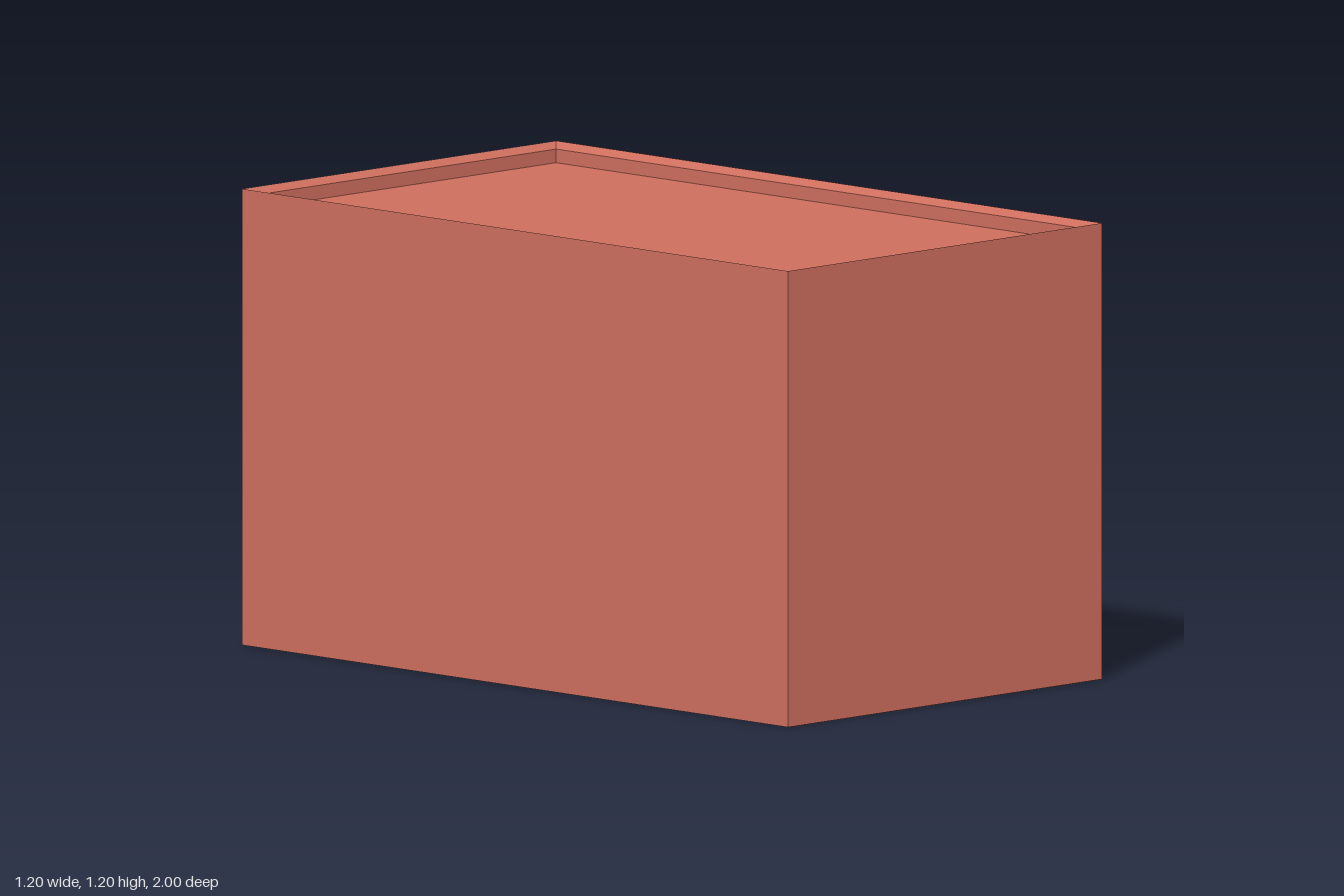
import * as THREE from 'three';

const brick = new THREE.MeshStandardMaterial({ color: 0xcf6f5e });
const glass = new THREE.MeshStandardMaterial({ color: 0x9ac1cf });
const WALL = 0.56; // x of the facade plane

function add(parent, name, geometry, material = brick) {
  const mesh = new THREE.Mesh(geometry, material);
  mesh.name = name;
  parent.add(mesh);
  return mesh;
}

// Box given by its extents
function span(x0, x1, y0, y1, z0, z1) {
  return new THREE.BoxGeometry(x1 - x0, y1 - y0, z1 - z0)
    .translate((x0 + x1) / 2, (y0 + y1) / 2, (z0 + z1) / 2);
}

// Rectangular ring at height y
const ring = (x0, x1, z0, z1, y) =>
  [[x0, y, z1], [x1, y, z1], [x1, y, z0], [x0, y, z0]];

// Flat-faced skin through rings, closed at both ends
function loft(rings, skip = () => false) {
  const pos = [];
  const quad = (a, b, c, d) => pos.push(...a, ...b, ...c, ...a, ...c, ...d);
  for (let r = 0; r < rings.length - 1; r++) {
    for (let i = 0; i < 4; i++) {
      const j = (i + 1) % 4;
      if (!skip(r, i)) quad(rings[r][i], rings[r][j], rings[r + 1][j], rings[r + 1][i]);
    }
  }
  quad(...[...rings[0]].reverse());
  quad(...rings[rings.length - 1]);
  const g = new THREE.BufferGeometry();
  g.setAttribute('position', new THREE.Float32BufferAttribute(pos, 3));
  g.computeVertexNormals();
  return g;
}

// Inside-out box lining a recess in the facade
function recess(depth, y0, y1, z0, z1) {
  const g = new THREE.BoxGeometry(depth, y1 - y0, z1 - z0);
  g.scale(-1, 1, 1);
  g.translate(WALL - depth / 2, (y0 + y1) / 2, (z0 + z1) / 2);
  // leave the outer side open: drop the face group lying in the wall plane
  const p = g.attributes.position, idx = [];
  for (let i = 0; i < g.index.count; i += 3) {
    const tri = [0, 1, 2].map((k) => g.index.getX(i + k));
    if (!tri.every((v) => Math.abs(p.getX(v) - WALL) < 1e-5)) idx.push(...tri);
  }
  g.setIndex(idx);
  g.computeVertexNormals();
  return g;
}

// Two-pane window standing slightly proud of the facade
function doubleWindow(z, y) {
  const w = new THREE.Group();
  w.name = 'doubleWindow';
  const hw = 0.125, h = 0.2, t = 0.005, out = WALL + 0.012;
  add(w, 'windowPanes', span(WALL - 0.01, WALL + 0.002, y, y + h, z - hw + 0.001, z + hw - 0.001), glass);
  for (const s of [-1, 1]) {
    const a = z + s * hw, b = z + s * (hw - t);
    add(w, 'frameSide', span(WALL, out, y, y + h, Math.min(a, b), Math.max(a, b)));
  }
  add(w, 'frameBottom', span(WALL, out, y, y + t, z - hw + t, z + hw - t));
  add(w, 'frameTop', span(WALL, out, y + h - t, y + h, z - hw + t, z + hw - t));
  add(w, 'mullion', span(WALL, out, y + t, y + h - t, z - 0.008, z + 0.008));
  return w;
}

export function createModel() {
  const model = new THREE.Group();
  model.name = 'house';

  // Walls, sloped parapet and sunken roof; the facade side is filled separately
  const inset = 0.022;
  const inner = (y) => ring(-0.6 + inset, WALL - inset, -1 + inset, 1 - inset, y);
  add(model, 'wallsAndRoof', loft([
    ring(-0.6, WALL, -1, 1, 0),
    ring(-0.6, WALL, -1, 1, 1.2),
    inner(1.183),
    inner(1.147),
  ], (r, i) => r === 0 && i === 1));

  // Facade with openings for the door and the small window
  const door = { y0: 0.01, y1: 0.315, z0: -0.018, z1: 0.192 };
  const small = { y0: 0.703, y1: 0.907, z0: -0.82, z1: -0.685 };
  const rect = (P, o) => new P([
    new THREE.Vector2(-o.z1, o.y0), new THREE.Vector2(-o.z0, o.y0),
    new THREE.Vector2(-o.z0, o.y1), new THREE.Vector2(-o.z1, o.y1),
  ]);
  const wall = rect(THREE.Shape, { y0: 0, y1: 1.2, z0: -1, z1: 1 });
  wall.holes.push(rect(THREE.Path, door), rect(THREE.Path, small));
  add(model, 'facade', new THREE.ShapeGeometry(wall).rotateY(Math.PI / 2).translate(WALL, 0, 0));

  // Recessed door with a post beside it
  add(model, 'doorRecess', recess(0.02, door.y0, door.y1, door.z0, door.z1));
  add(model, 'doorPost', span(WALL - 0.02, WALL - 0.01, door.y0, door.y1, door.z0, 0.007));

  // Hipped canopy over the door
  add(model, 'doorCanopy', loft([
    ring(WALL, 0.597, -0.018, 0.192, 0.315),
    ring(WALL, 0.571, 0.005, 0.167, 0.345),
  ]));

  // Small recessed window and its sill
  add(model, 'smallWindowRecess', recess(0.015, small.y0, small.y1, small.z0, small.z1));
  add(model, 'smallWindowPane',
    span(WALL - 0.018, WALL - 0.013, small.y0, small.y1, small.z0, small.z1), glass);
  add(model, 'windowSill', loft([
    ring(WALL, 0.584, -0.822, -0.687, 0.69),
    ring(WALL, 0.597, -0.822, -0.687, 0.704),
  ]));

  // Double windows on two levels
  for (const [z, y] of [[0.75, 0.735], [0.035, 0.735], [0.56, 0.375], [-0.205, 0.375]]) {
    model.add(doubleWindow(z, y));
  }
  return model;
}
